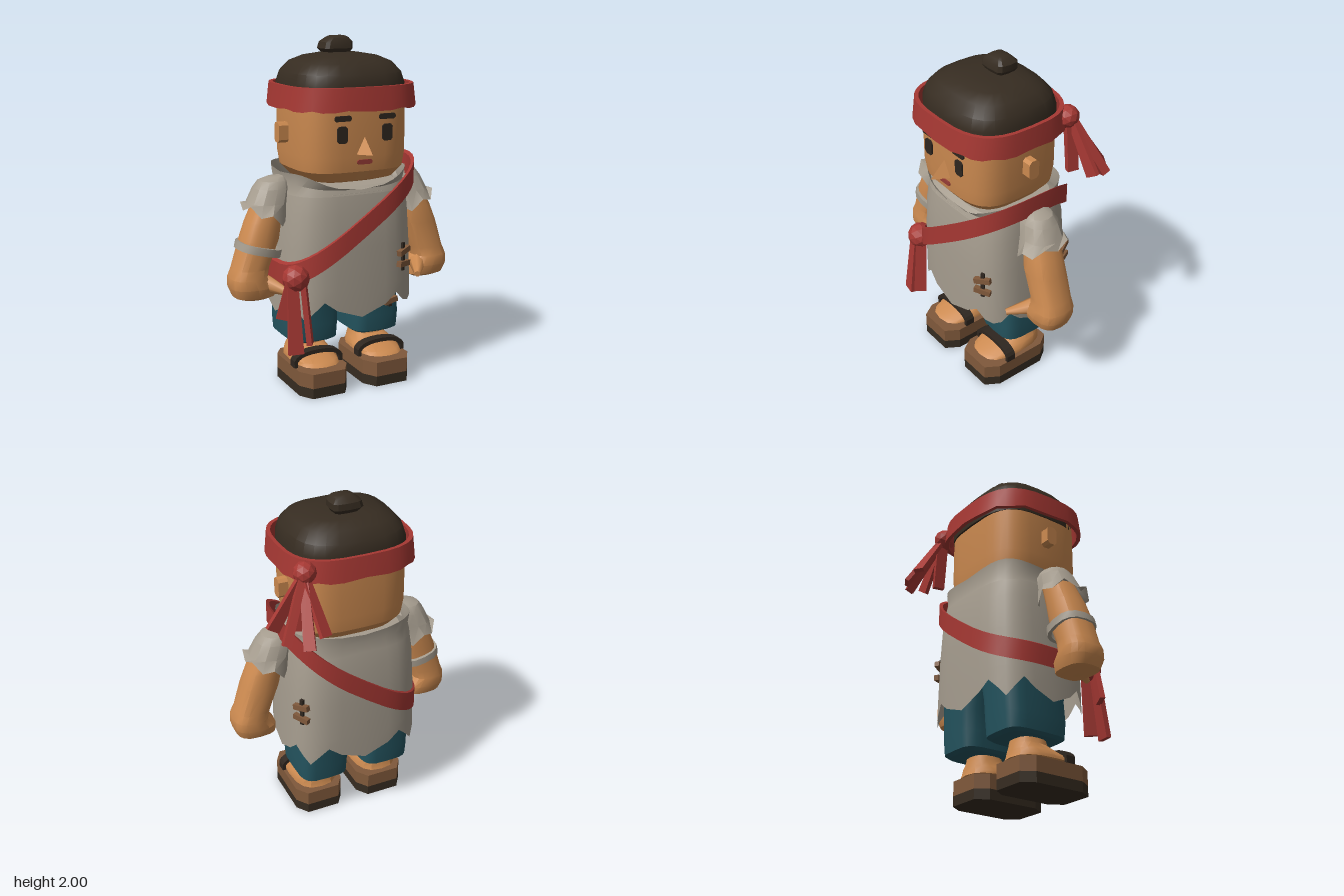
import * as THREE from 'three';
import { toCreasedNormals } from 'three/addons/utils/BufferGeometryUtils.js';

const paint = (name, color, extra = {}) => {
  const m = new THREE.MeshStandardMaterial({ color, ...extra });
  m.name = name;
  return m;
};

// Stack of rounded-square rings; rows are [y, cx, cz, halfX, halfZ], bottom to top; ends lists the capped rows.
function loft(rows, { seg = 24, e = 4, ends = [0, rows.length - 1], warp } = {}) {
  const pos = [], idx = [];
  const bend = (c, h) => Math.sign(c) * Math.pow(Math.abs(c), 2 / e) * h;
  rows.forEach(([y, cx, cz, hx, hz], r) => {
    for (let j = 0; j < seg; j++) {
      const t = (j / seg) * Math.PI * 2;
      const p = new THREE.Vector3(cx + bend(Math.cos(t), hx), y, cz + bend(Math.sin(t), hz));
      if (warp) warp(p, t, r, j);
      pos.push(p.x, p.y, p.z);
    }
  });
  for (let r = 0; r < rows.length - 1; r++) {
    for (let j = 0; j < seg; j++) {
      const k = (j + 1) % seg, a = r * seg + j, b = r * seg + k;
      idx.push(a, a + seg, b, b, a + seg, b + seg);
    }
  }
  ends.forEach((r) => {
    const c = pos.length / 3;
    pos.push(rows[r][1], rows[r][0], rows[r][2]);
    for (let j = 0; j < seg; j++) {
      const a = r * seg + j, b = r * seg + ((j + 1) % seg);
      if (r === 0) idx.push(c, a, b); else idx.push(c, b, a);
    }
  });
  const g = new THREE.BufferGeometry();
  g.setAttribute('position', new THREE.Float32BufferAttribute(pos, 3));
  g.setIndex(idx);
  return toCreasedNormals(g, 0.5);
}

// Closed cloth ring with wall thickness w between heights y0 and y1.
function band(y0, y1, cx, cz, hx, hz, w, options) {
  const i = [cx, cz, hx - w, hz - w], o = [cx, cz, hx, hz];
  return loft([[y0, ...i], [y0, ...o], [y1, ...o], [y1, ...i], [y0, ...i]], { ends: [], ...options });
}

// Plate with cut corners, centred, facing +z.
function plate(w, h, d, cut) {
  const x = w / 2, y = h / 2;
  const shape = new THREE.Shape([[-x + cut, -y], [x - cut, -y], [x, -y + cut], [x, y - cut],
    [x - cut, y], [-x + cut, y], [-x, y - cut], [-x, -y + cut]].map((p) => new THREE.Vector2(...p)));
  return new THREE.ExtrudeGeometry(shape, { depth: d, bevelEnabled: false }).translate(0, 0, -d / 2);
}

// Square-sectioned strip of unit length along y, from width w0 to w1.
function strip(w0, w1, depth) {
  const g = new THREE.BoxGeometry(1, 1, depth), p = g.attributes.position;
  for (let i = 0; i < p.count; i++) p.setX(i, p.getX(i) * (p.getY(i) > 0 ? w1 : w0));
  g.computeVertexNormals();
  return g;
}

export function createModel() {
  const model = new THREE.Group();
  const skin = paint('skin', 0xcc8a50);
  const dark = paint('dark hair and soles', 0x362c21);
  const red = paint('red cloth', 0xa63833);
  const lips = paint('lips', 0x963c35);
  const cloth = paint('grey cloth', 0xa69d8f, { side: THREE.DoubleSide });
  const teal = paint('teal trousers', 0x24545f);
  const wood = paint('brown wood', 0x80593b);
  const ink = paint('black brown', 0x2e261f);

  const add = (name, geometry, material, parent = model) => {
    const m = new THREE.Mesh(geometry, material);
    m.name = name;
    parent.add(m);
    return m;
  };
  // Stretches a unit-length geometry between two points
  const span = (name, geometry, from, to, mat) => {
    const a = new THREE.Vector3(...from), b = new THREE.Vector3(...to);
    const m = add(name, geometry, mat);
    m.position.lerpVectors(a, b, 0.5);
    m.scale.y = a.distanceTo(b);
    m.quaternion.setFromUnitVectors(new THREE.Vector3(0, 1, 0), b.sub(a).normalize());
  };
  const knot = (name, r, x, y, z) => {
    add(name, toCreasedNormals(new THREE.IcosahedronGeometry(r, 1), 0.3), red).position.set(x, y, z);
  };

  // Head, hair and bun
  add('head', loft([[1.21, 0, 0.07, 0.2, 0.18], [1.23, 0, 0.07, 0.27, 0.245], [1.285, 0, 0.07, 0.317, 0.29],
    [1.37, 0, 0.07, 0.33, 0.3], [1.66, 0, 0.07, 0.33, 0.3]], { seg: 32, e: 3.5 }), skin);
  add('hair', loft([[1.63, 0, 0.065, 0.338, 0.308], [1.75, 0, 0.065, 0.335, 0.31], [1.81, 0, 0.065, 0.317, 0.29],
    [1.865, 0, 0.065, 0.27, 0.24], [1.895, 0, 0.065, 0.2, 0.175], [1.91, 0, 0.06, 0.11, 0.1]], { e: 3.1 }), dark);
  add('bun', loft([[1.89, 0.01, 0, 0.06, 0.05], [1.93, 0.005, -0.005, 0.093, 0.074], [1.965, 0.01, -0.005, 0.088, 0.07],
    [1.99, 0.015, 0, 0.06, 0.05], [2, 0.015, 0, 0.04, 0.03]], { seg: 12, e: 4 }), dark);

  // Face
  for (const s of [-1, 1]) {
    add('eye', plate(0.062, 0.092, 0.009, 0.012), ink).position.set(s * 0.137, 1.495, 0.374);
    add('eyebrow', plate(0.1, 0.03, 0.009, 0.009), ink).position.set(s * 0.135, 1.583, 0.376);
    const ear = add('ear', plate(0.066, 0.112, 0.08, 0.016), skin);
    ear.position.set(s * 0.346, 1.485, 0.063);
    ear.rotation.y = Math.PI / 2;
  }
  add('mouth', plate(0.092, 0.026, 0.009, 0.009), lips).position.set(0, 1.34, 0.371);
  const nose = new THREE.BufferGeometry();
  nose.setAttribute('position', new THREE.Float32BufferAttribute(
    [0, 1.487, 0.36, -0.052, 1.382, 0.36, 0.052, 1.382, 0.36, 0, 1.388, 0.465], 3));
  nose.setIndex([0, 1, 3, 0, 3, 2, 1, 2, 3]);
  add('nose', toCreasedNormals(nose, 0.1), skin);

  // Headband with knot and loose ends
  add('headband', band(1.62, 1.75, 0.003, 0.07, 0.392, 0.36, 0.022, {
    seg: 32, e: 3, warp: (p, t, r, j) => {
      if (p.y < 1.7) {
        p.y += j % 3 === 0 ? 0.01 : 0;
      } else {
        p.x *= 0.97;
        p.z = 0.07 + (p.z - 0.07) * 0.96;
      }
    },
  }), red);
  knot('headbandKnot', 0.065, 0.33, 1.69, -0.21);
  [[0.4, 1.35, -0.43, 0.065, 0.025], [0.5, 1.36, -0.35, 0.05, 0.045], [0.53, 1.4, -0.23, 0.08, 0.025],
    [0.3, 1.4, -0.41, 0.07, 0.025], [0.38, 1.37, -0.215, 0.035, 0.065]]
    .forEach(([x, y, z, w, d]) => span('headbandTail', strip(0.045, w, d), [0.34, 1.69, -0.22], [x, y, z], red));

  // Tunic with ragged hem, open below, and a loose collar
  add('tunic', loft([[0.5, 0, 0.035, 0.4, 0.32], [0.62, 0, 0.035, 0.397, 0.322], [0.85, 0, 0.035, 0.388, 0.32],
    [1.05, 0, 0.035, 0.375, 0.312], [1.16, 0, 0.035, 0.36, 0.295], [1.19, 0, 0.035, 0.31, 0.25]], {
    seg: 32, e: 3.4, ends: [5], warp: (p, t, r, j) => {
      if (r === 0) p.y -= (j === 4 ? 0.015 : 0.055) * Math.cos(t * 8);
    },
  }), cloth);
  add('collar', loft([[1.15, 0, 0.035, 0.363, 0.298], [1.21, 0, 0.035, 0.35, 0.288], [1.26, 0, 0.04, 0.36, 0.3]], {
    seg: 32, e: 3.4, ends: [], warp: (p, t, r) => {
      const front = Math.max(0, Math.sin(t));
      if (r > 0) p.y -= (r === 2 ? 0.08 : 0.03) * front ** 3;
      if (r === 2) p.y += 0.025 * Math.abs(Math.sin(2 * t));
    },
  }), cloth);

  // Sash over the left shoulder, tied at the right hip
  add('sash', band(-0.06, 0.06, 0, 0.045, 0.415, 0.355, 0.018, {
    seg: 40, e: 2.9, warp: (p, t) => {
      p.y += 0.985 + 0.7 * p.x - (Math.sin(t) < 0 ? 0.07 * Math.sin(t) ** 2 : 0);
    },
  }), red);
  knot('sashKnot', 0.078, -0.385, 0.71, 0.3);
  [[-0.415, -0.42, 0.3, 0.375, 0.085], [-0.35, -0.328, 0.34, 0.36, 0.075], [-0.42, -0.47, 0.49, 0.31, 0.075]]
    .forEach(([x0, x, y, z, w]) => span('sashTail', strip(0.06, w, 0.03), [x0, 0.7, 0.32], [x, y, z], red));

  // Stitched tears: wooden pegs across a dark thread
  const stitch = (x, y, z, turn, length, width, pegHeights) => {
    const g = new THREE.Group();
    g.name = 'stitch';
    add('thread', new THREE.BoxGeometry(0.022, length, 0.024), ink, g);
    pegHeights.forEach((h, i) => {
      const peg = add('peg', new THREE.BoxGeometry(width, 0.032, 0.03), wood, g);
      peg.position.set(0, h, 0.01);
      peg.rotation.z = 0.18 - i * 0.26;
    });
    g.position.set(x, y, z);
    g.rotation.y = turn;
    model.add(g);
  };
  stitch(0.272, 0.76, 0.324, 0.5, 0.165, 0.1, [0.035, -0.04]);
  stitch(0.353, 0.805, -0.188, Math.PI / 2 + 0.5, 0.165, 0.1, [0.035, -0.04]);
  stitch(0.258, 0.466, 0.207, 0.1, 0.075, 0.09, [0]);

  for (const s of [-1, 1]) {
    // Sleeve, arm with fist, thumb
    add('sleeve', loft([[1.03, s * 0.475, 0.06, 0.118, 0.152], [1.1, s * 0.45, 0.055, 0.115, 0.118],
      [1.18, s * 0.42, 0.05, 0.105, 0.1], [1.22, s * 0.41, 0.05, 0.085, 0.075], [1.24, s * 0.39, 0.05, 0.05, 0.04]], {
      seg: 12, e: 2.2, ends: [4], warp: (p, t, r, j) => {
        if (r === 0) p.y += (p.x * s - 0.475) * 0.45 + (j % 2 ? 0.02 : -0.02);
      },
    }), cloth);
    add('arm', loft([[0.56, s * 0.545, 0.08, 0.075, 0.06], [0.58, s * 0.55, 0.08, 0.118, 0.1],
      [0.635, s * 0.562, 0.08, 0.127, 0.118], [0.69, s * 0.582, 0.078, 0.105, 0.114], [0.74, s * 0.566, 0.075, 0.1, 0.106],
      [0.9, s * 0.51, 0.075, 0.107, 0.106], [1, s * 0.482, 0.07, 0.097, 0.1], [1.14, s * 0.43, 0.06, 0.08, 0.085]],
    { seg: 16, e: 2.8 }), skin);
    span('thumb', new THREE.CylinderGeometry(0.018, 0.05, 1, 7), [s * 0.49, 0.65, 0.13], [s * 0.41, 0.62, 0.27], skin);

    // Trouser leg
    add('trouserLeg', loft([[0.27, s * 0.2, 0, 0.13, 0.17], [0.285, s * 0.2, 0, 0.15, 0.195], [0.38, s * 0.2, 0, 0.155, 0.203],
      [0.5, s * 0.195, -0.005, 0.155, 0.203], [0.66, s * 0.18, 0, 0.17, 0.22]], { e: 4.2 }), teal);

    // Foot, strap and clog
    add('foot', loft([[0.16, s * 0.205, 0.1, 0.135, 0.208], [0.178, s * 0.205, 0.09, 0.133, 0.19],
      [0.205, s * 0.205, 0.047, 0.118, 0.142], [0.24, s * 0.2, 0.015, 0.095, 0.1],
      [0.3, s * 0.2, 0.01, 0.085, 0.085]], { seg: 16, e: 2.7 }), skin);
    const arch = new THREE.Shape();
    arch.moveTo(-0.152, 0.145).lineTo(-0.152, 0.185).quadraticCurveTo(-0.13, 0.237, 0, 0.237)
      .quadraticCurveTo(0.13, 0.237, 0.152, 0.185).lineTo(0.152, 0.145).lineTo(0.132, 0.145).lineTo(0.132, 0.175)
      .quadraticCurveTo(0.11, 0.214, 0, 0.214).quadraticCurveTo(-0.11, 0.214, -0.132, 0.175).lineTo(-0.132, 0.145);
    const strap = new THREE.ExtrudeGeometry(arch, { depth: 0.058, bevelEnabled: false, curveSegments: 5 });
    add('sandalStrap', strap, ink).position.set(s * 0.205, 0, 0.153);
    const plan = new THREE.Shape([[-0.15, -0.05], [-0.1, -0.123], [0.1, -0.123], [0.15, -0.05],
      [0.15, 0.265], [0.1, 0.345], [-0.1, 0.345], [-0.15, 0.265]].map(([x, z]) => new THREE.Vector2(x, -z)));
    [['clogSole', 0, 0.06, dark], ['clogTop', 0.06, 0.085, wood]].forEach(([name, y, depth, mat]) => {
      const g = new THREE.ExtrudeGeometry(plan, { depth, bevelEnabled: false }).rotateX(-Math.PI / 2);
      add(name, g, mat).position.set(s * 0.203, y, 0);
    });
  }

  // Wristband on the right arm
  const cuff = add('wristband', band(-0.022, 0.022, 0, 0, 0.127, 0.125, 0.02, { seg: 16, e: 2.6 }), cloth);
  cuff.position.set(-0.515, 0.845, 0.075);
  cuff.rotation.z = -0.25;

  return model;
}
